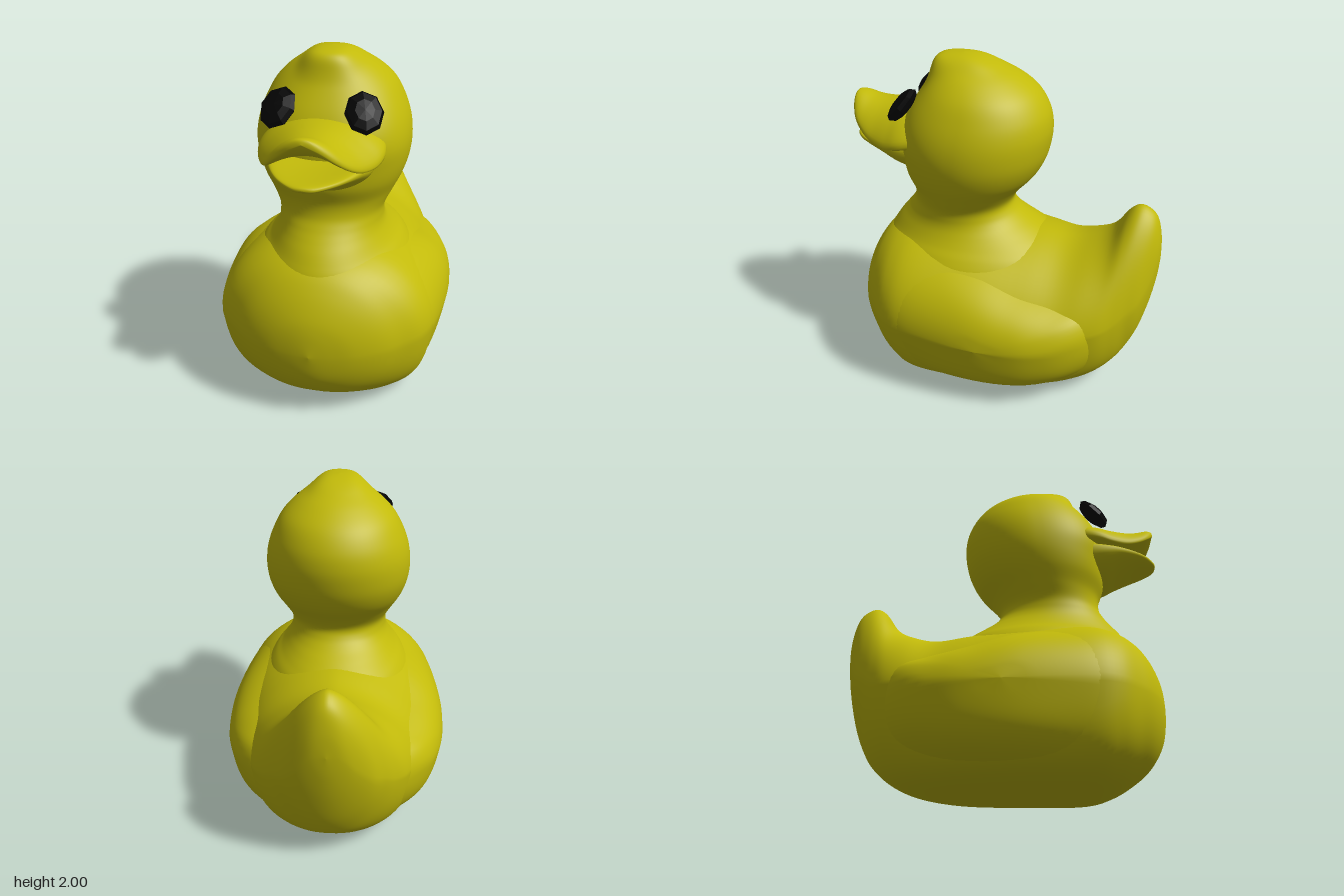
import * as THREE from 'three';

const yellow = new THREE.MeshStandardMaterial({ color: 0xc2ba0a });
yellow.name = 'duckYellow';
const black = new THREE.MeshStandardMaterial({ color: 0x040404 });
black.name = 'eyeBlack';

// Smooth interpolation through rows of numbers, u from 0 to 1
function sample(rows, u) {
  const f = u * (rows.length - 1);
  const i = Math.min(Math.floor(f), rows.length - 2);
  const t = f - i;
  const row = k => rows[THREE.MathUtils.clamp(k, 0, rows.length - 1)];
  return rows[0].map((_, c) => {
    const a = row(i - 1)[c], b = row(i)[c], d = row(i + 1)[c], e = row(i + 2)[c];
    return b + 0.5 * t * (d - a + t * (2 * a - 5 * b + 4 * d - e + t * (3 * (b - d) + e - a)));
  });
}

// Skin of closed rings; point(u, v) gives [x, y, z]
function loft(point, rings, sides) {
  const pos = [], index = [];
  for (let i = 0; i <= rings; i++) {
    for (let j = 0; j < sides; j++) pos.push(...point(i / rings, j / sides));
  }
  for (let i = 0; i < rings; i++) {
    for (let j = 0; j < sides; j++) {
      const a = i * sides + j, b = i * sides + (j + 1) % sides;
      index.push(a, b, a + sides, b, b + sides, a + sides);
    }
  }
  const geometry = new THREE.BufferGeometry();
  geometry.setAttribute('position', new THREE.Float32BufferAttribute(pos, 3));
  geometry.setIndex(index);
  geometry.computeVertexNormals();
  return geometry;
}

// Signed power, for superellipse sections
const spow = (v, p) => Math.sign(v) * Math.pow(Math.abs(v), 2 / p);

// Body and tail: z, bottom, widest height, top, half width, upper and lower roundness
const BODY = [
  [-0.95, 0.86, 0.86, 0.86, 0, 2, 2],
  [-0.94, 0.72, 0.85, 1.0, 0.08, 2, 2],
  [-0.91, 0.54, 0.75, 1.12, 0.16, 1.8, 2],
  [-0.86, 0.35, 0.65, 1.175, 0.25, 1.65, 2],
  [-0.8, 0.215, 0.6, 1.19, 0.315, 1.6, 2.1],
  [-0.74, 0.14, 0.55, 1.145, 0.375, 1.6, 2.4],
  [-0.66, 0.08, 0.52, 1.03, 0.44, 1.65, 2.7],
  [-0.55, 0.035, 0.5, 0.965, 0.49, 1.7, 3.2],
  [-0.4, 0.01, 0.46, 0.93, 0.54, 1.7, 3.8],
  [-0.2, 0, 0.45, 0.95, 0.59, 1.75, 4.4],
  [0.1, 0, 0.45, 0.97, 0.635, 1.9, 4.6],
  [0.45, 0, 0.45, 0.97, 0.64, 2, 4.4],
  [0.62, 0.025, 0.45, 0.94, 0.59, 2, 3.2],
  [0.74, 0.085, 0.45, 0.88, 0.48, 2, 2.7],
  [0.82, 0.15, 0.45, 0.79, 0.38, 2, 2.4],
  [0.88, 0.24, 0.45, 0.68, 0.25, 2, 2.2],
  [0.91, 0.33, 0.45, 0.58, 0.12, 2, 2],
  [0.925, 0.45, 0.45, 0.45, 0, 2, 2],
];
const TAPER = 0.12; // sides lean in towards the base

function bodyPoint(u, v) {
  const [z, bottom, mid, top, w, pTop, pLow] = sample(BODY, u);
  const c = Math.cos(v * Math.PI * 2), s = Math.sin(v * Math.PI * 2);
  const p = s > 0 ? pTop : pLow;
  const h = spow(s, p);
  return [
    w * spow(c, p) * (1 + TAPER * Math.min(h, 0)),
    mid + (s > 0 ? top - mid : mid - bottom) * h,
    z,
  ];
}

// Half width of the body at a given z and y
function bodyX(z, y) {
  let lo = 0, hi = 1;
  for (let k = 0; k < 24; k++) {
    const m = (lo + hi) / 2;
    if (sample(BODY, m)[0] < z) lo = m; else hi = m;
  }
  const [, bottom, mid, top, w, pTop, pLow] = sample(BODY, lo);
  const upper = y > mid;
  const p = upper ? pTop : pLow;
  const r = Math.min(1, upper ? (y - mid) / (top - mid) : (mid - y) / (mid - bottom));
  return w * Math.pow(1 - Math.pow(r, p), 1 / p) * (upper ? 1 : 1 - TAPER * r);
}

// Flared neck and head: y, front z, back z, half width, roundness of the face
const HEAD = [
  [0.74, 0.79, -0.38, 0.46, 2],
  [0.8, 0.785, -0.36, 0.45, 2],
  [0.86, 0.762, -0.33, 0.41, 2],
  [0.91, 0.732, -0.27, 0.365, 2],
  [0.96, 0.697, -0.19, 0.33, 2],
  [1.01, 0.655, -0.11, 0.306, 2],
  [1.06, 0.615, -0.055, 0.298, 2],
  [1.12, 0.582, -0.035, 0.305, 2],
  [1.2, 0.578, -0.08, 0.345, 2],
  [1.3, 0.61, -0.17, 0.395, 2.1],
  [1.4, 0.62, -0.225, 0.425, 2.2],
  [1.5, 0.625, -0.252, 0.433, 2.3],
  [1.6, 0.61, -0.26, 0.42, 2.3],
  [1.7, 0.565, -0.24, 0.385, 2.3],
  [1.8, 0.5, -0.18, 0.33, 2.2],
  [1.88, 0.445, -0.08, 0.25, 2.1],
  [1.93, 0.4, 0.02, 0.17, 2],
  [1.95, 0.34, 0.1, 0.09, 2],
  [1.957, 0.23, 0.23, 0, 2],
];

// The crown swells into a small rounded tuft at the front
function headPoint(u, v) {
  const [y, front, back, w, face] = sample(HEAD, u);
  const c = Math.cos(v * Math.PI * 2), s = -Math.sin(v * Math.PI * 2);
  const p = s > 0 ? face : 2;
  const x = w * spow(c, p), z = (front + back) / 2 + (front - back) / 2 * spow(s, p);
  const tuft = Math.exp(-((x / 0.15) ** 4) - ((z - 0.28) / 0.2) ** 4)
    * THREE.MathUtils.smoothstep(y, 1.82, 1.95);
  return [x, y + 0.044 * tuft, z + 0.03 * tuft];
}

// Beak halves: z, centre height, droop of the edges, half width, half thickness
const UPPER_BEAK = [
  [0.38, 1.61, 0.06, 0.31, 0.08],
  [0.5, 1.61, 0.085, 0.335, 0.082],
  [0.58, 1.612, 0.105, 0.335, 0.077],
  [0.66, 1.615, 0.125, 0.31, 0.068],
  [0.75, 1.62, 0.122, 0.265, 0.06],
  [0.83, 1.638, 0.105, 0.22, 0.05],
  [0.9, 1.668, 0.075, 0.16, 0.042],
  [0.94, 1.688, 0.03, 0.08, 0.025],
  [0.952, 1.69, 0, 0, 0],
];
const LOWER_BEAK = [
  [0.36, 1.4, -0.05, 0.28, 0.12],
  [0.52, 1.392, -0.06, 0.285, 0.11],
  [0.62, 1.395, -0.06, 0.275, 0.085],
  [0.7, 1.412, -0.05, 0.25, 0.058],
  [0.8, 1.434, -0.03, 0.2, 0.036],
  [0.88, 1.447, -0.015, 0.14, 0.025],
  [0.94, 1.455, 0, 0.06, 0.015],
  [0.952, 1.455, 0, 0, 0],
];
const beakPoint = rows => (u, v) => {
  const [z, y, droop, w, t] = sample(rows, u);
  const c = Math.cos(v * Math.PI * 2), s = Math.sin(v * Math.PI * 2);
  return [w * spow(c, 2.1), y - droop * c * c + t * spow(s, 2.5), z];
};

// Wing outline in side view, as (z, y)
const WING = new THREE.CatmullRomCurve3([
  [0.3, 0.83], [0.05, 0.81], [-0.2, 0.73], [-0.45, 0.67], [-0.59, 0.61], [-0.65, 0.4],
  [-0.6, 0.23], [-0.4, 0.11], [0, 0.06], [0.4, 0.11], [0.6, 0.33], [0.64, 0.52], [0.54, 0.73],
].map(([z, y]) => new THREE.Vector3(0, y, z)), true);

// Wing: a raised pad following the body, standing proud towards the rear
const wingPoint = side => (u, v) => {
  const t = Math.sqrt(u);
  const edge = WING.getPoint(side > 0 ? v : 1 - v);
  const y = 0.45 + (edge.y - 0.45) * t, z = edge.z * t;
  const lift = 0.085 * THREE.MathUtils.smoothstep(-z, -0.65, 0.3);
  return [side * (bodyX(z, y) - 0.015 + (lift + 0.015) * (1 - Math.pow(t, 5))), y, z];
};

export function createModel() {
  const duck = new THREE.Group();
  duck.name = 'rubberDuck';
  const add = (name, geometry, material = yellow) => {
    const mesh = new THREE.Mesh(geometry, material);
    mesh.name = name;
    duck.add(mesh);
    return mesh;
  };

  add('bodyAndTail', loft(bodyPoint, 90, 72));
  add('neckAndHead', loft(headPoint, 108, 72));
  add('upperBeak', loft(beakPoint(UPPER_BEAK), 40, 48));
  add('lowerBeak', loft(beakPoint(LOWER_BEAK), 35, 48));

  // Faceted flat eyes
  const eyeGeometry = new THREE.SphereGeometry(1, 8, 6).rotateX(Math.PI / 2).toNonIndexed();
  eyeGeometry.computeVertexNormals();
  for (const side of [1, -1]) {
    const label = side > 0 ? 'left' : 'right';
    add(label + 'Wing', loft(wingPoint(side), 24, 72));
    const eye = add(label + 'Eye', eyeGeometry, black);
    eye.position.set(side * 0.226, 1.731, 0.557);
    eye.lookAt(side * 0.46, 2.38, 1.25);
    eye.scale.set(0.102, 0.121, 0.045);
  }
  return duck;
}
